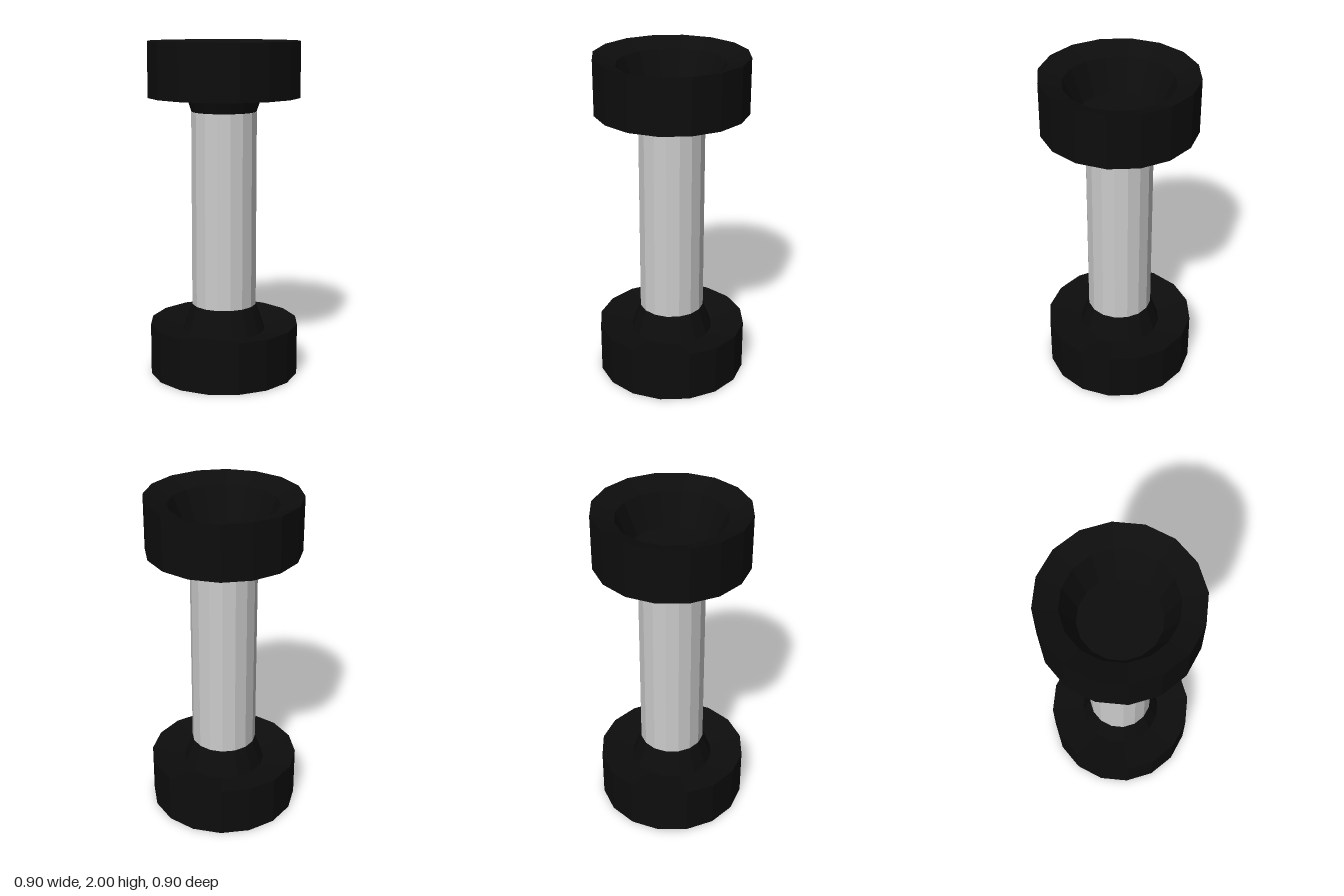
import * as THREE from 'three';

const SIDES = 16;

// Turned part: profile runs from the axis below, out and up, back to the axis
function turned(name, profile, material) {
  const points = profile.map(([r, y]) => new THREE.Vector2(r, y));
  const mesh = new THREE.Mesh(new THREE.LatheGeometry(points, SIDES), material);
  mesh.name = name;
  return mesh;
}

export function createModel() {
  const black = new THREE.MeshStandardMaterial({ color: 0x0d0d0d, flatShading: true });
  black.name = 'black rubber';
  const grey = new THREE.MeshStandardMaterial({ color: 0xcccccc, flatShading: true });
  grey.name = 'light grey metal';

  const group = new THREE.Group();
  group.name = 'dumbbell';

  // Lower weight: recessed underside, dished top and tapered collar
  group.add(turned('lowerWeight', [
    [0, 0.24], [0.235, 0.24], [0.315, 0.05], [0.45, 0],
    [0.45, 0.31], [0.25, 0.265], [0.193, 0.425], [0, 0.425],
  ], black));

  // Upper weight: tapered collar, dished underside and recessed top
  group.add(turned('upperWeight', [
    [0, 1.59], [0.193, 1.59], [0.24, 1.725], [0.45, 1.675],
    [0.45, 2], [0.318, 1.95], [0.235, 1.76], [0, 1.76],
  ], black));

  // Straight grip between the collars
  const grip = new THREE.Mesh(new THREE.CylinderGeometry(0.196, 0.196, 1.165, SIDES), grey);
  grip.name = 'grip';
  grip.position.y = 1.0075;
  group.add(grip);

  return group;
}
